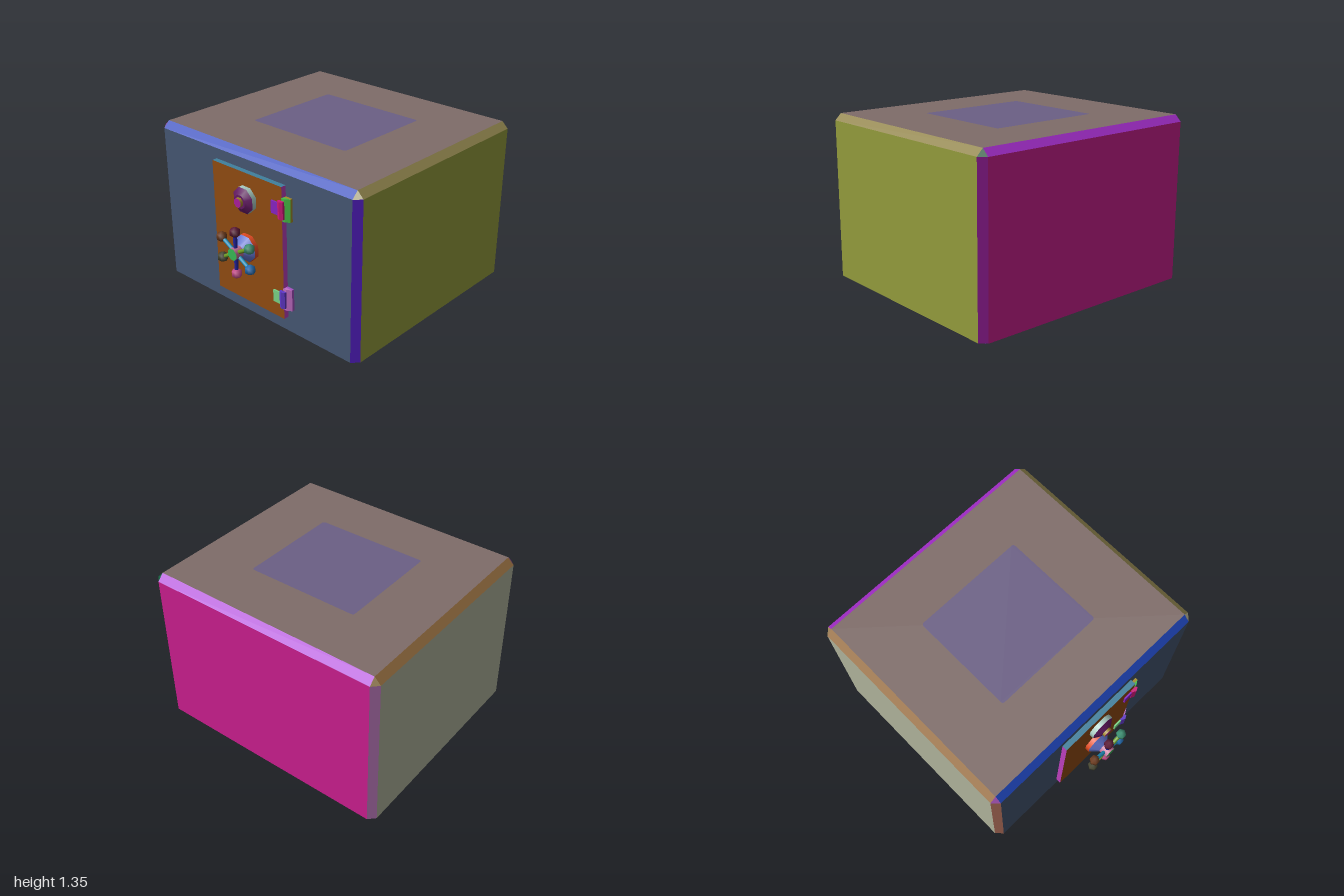
import * as THREE from 'three';

const flat = (color) => new THREE.MeshStandardMaterial({ color, flatShading: true });
const smooth = (color) => new THREE.MeshStandardMaterial({ color });

function add(parent, name, geo, mat, x = 0, y = 0, z = 0) {
  const m = new THREE.Mesh(geo, mat);
  m.name = name;
  m.position.set(x, y, z);
  parent.add(m);
  return m;
}

// Box given by its limits on each axis; mat may list +x, -x, +y, -y, +z, -z
function block(parent, name, [x0, x1], [y0, y1], [z0, z1], mat) {
  return add(parent, name, new THREE.BoxGeometry(x1 - x0, y1 - y0, z1 - z0), mat,
    (x0 + x1) / 2, (y0 + y1) / 2, (z0 + z1) / 2);
}

// Eight-sided band facing +z, from radius r0 at z0 to r1 at z1
function band(parent, name, r0, z0, r1, z1, color) {
  const geo = new THREE.CylinderGeometry(r1, r0, z1 - z0, 8, 1, true, Math.PI / 8).rotateX(Math.PI / 2);
  return add(parent, name, geo, smooth(color), 0, 0, (z0 + z1) / 2);
}

// Eight-sided end cap facing +z
function cap(parent, name, r, z, color) {
  return add(parent, name, new THREE.CircleGeometry(r, 8, Math.PI / 8), smooth(color), 0, 0, z);
}

// Colours around the body: right side first, then by way of the back to the front
const SIDES = [0x949c3c, 0x87198a, 0xcb1e8f, 0xaa6caa, 0xb0b49c, 0xa76956, 0x455672, 0x501ebe];
const RIM = [0x948850, 0x125f3c, 0xa62ecd, 0x967d55, 0x966e40, 0x964ba5, 0x1e44b8, 0xcdc8a5];

// Box with chamfered uprights and top rim, square at the floor; one colour per face
function addBody(parent, hx, hz, y0, y1, c, zMid) {
  const ring = (y) => [[hx, hz - c], [hx, -hz + c], [hx - c, -hz], [-hx + c, -hz],
    [-hx, -hz + c], [-hx, hz - c], [-hx + c, hz], [hx - c, hz]].map(([x, z]) => [x, y, z]);
  const low = ring(y0), mid = ring(y1 - c);
  const top = mid.map(([x, , z]) => [Math.sign(x) * (hx - c), y1, Math.sign(z) * (hz - c)]);
  const pos = [], mats = [];
  const geo = new THREE.BufferGeometry();
  const face = (color, ...p) => { // convex polygon as a fan
    geo.addGroup(pos.length / 3, (p.length - 2) * 3, mats.length);
    mats.push(flat(color));
    for (let i = 1; i < p.length - 1; i++) pos.push(...p[0], ...p[i], ...p[i + 1]);
  };
  for (let i = 0; i < 8; i++) {
    const j = (i + 1) % 8;
    face(SIDES[i], low[i], low[j], mid[j], mid[i]);
    if (i % 2) face(RIM[i], mid[i], mid[j], top[j]);
    else face(RIM[i], mid[i], mid[j], top[j], top[i]);
  }
  face(0x7f6c69, top[0], top[2], top[4], top[6]);
  face(0x7d842d, ...low.reverse());
  geo.setAttribute('position', new THREE.Float32BufferAttribute(pos, 3));
  geo.computeVertexNormals();
  add(parent, 'body', geo, mats, 0, 0, zMid);
}

// Plan outline of [x, z] points raised to a height, centred on y = 0
function plate(points, h) {
  const s = new THREE.Shape(points.map(([x, z]) => new THREE.Vector2(x, -z)));
  return new THREE.ExtrudeGeometry(s, { depth: h, bevelEnabled: false })
    .rotateX(-Math.PI / 2).translate(0, -h / 2, 0);
}

// Feet: x, z, then colours of the sides, front, back and underside
const FEET = [
  [0.838, 0.65, 0xae4b6e, 0x236240, 0x6153e0, 0x3ed0c0],
  [0.378, 0.257, 0x6ed05c, 0xb9ae6e, 0xd0a7d0, 0x32c8c8],
  [0.378, -0.463, 0x17ae51, 0xd04561, 0xd04561, 0x4bcfe0],
  [0.838, -0.853, 0x295174, 0x7d45e0, 0x7d45e0, 0xe0aee0],
  [-0.378, -0.463, 0x8b2ed0, 0xec6f38, 0xec6f38, 0xc8f058],
  [-0.838, -0.853, 0x452360, 0x7d4c1c, 0x7d4c1c, 0x7032b0],
  [-0.378, 0.257, 0xa217e8, 0xcb1dae, 0x7d7d61, 0x64dcf0],
  [-0.838, 0.65, 0xae2e45, 0xbf3468, 0x3899b4, 0xe05832],
];

// Hinges: height, then colours of mount front, mount edges, knuckle and leaf
const HINGES = [
  [1.045, 0x46be46, 0xa58c28, 0xcd1978, 0x8723c3],
  [0.333, 0xc36ec8, 0xa550c3, 0x5f37c8, 0x78d284],
];

// Handwheel: three rods through the hub, six balls counted from the top towards -x
const RODS = [0x2323a0, 0x2396c3, 0x6e9b23];
const BALLS = [0x5f1937, 0x6e3c1e, 0x484832, 0xc84b8c, 0x236eb4, 0x3c9173];

export function createModel() {
  const safe = new THREE.Group();
  safe.name = 'safe';

  addBody(safe, 0.995, 0.8975, 0.046, 1.346, 0.05, -0.1025);

  // Flat rounded panel on the top
  const w = 0.46, d = 0.418, r = 0.02;
  const panel = new THREE.Shape();
  panel.absarc(w - r, d - r, r, 0, Math.PI / 2);
  panel.absarc(-w + r, d - r, r, Math.PI / 2, Math.PI);
  panel.absarc(-w + r, -d + r, r, Math.PI, Math.PI * 1.5);
  panel.absarc(w - r, -d + r, r, Math.PI * 1.5, Math.PI * 2);
  add(safe, 'topPanel', new THREE.ShapeGeometry(panel, 3).rotateX(-Math.PI / 2),
    flat(0x6b5f85), 0, 1.3475, -0.105);

  for (const [x, z, side, front, back, under] of FEET)
    add(safe, 'foot', new THREE.BoxGeometry(0.125, 0.05, 0.116),
      [side, side, side, under, front, back].map(flat), x, 0.025, z);

  block(safe, 'door', [-0.35, 0.35], [0.165, 1.215], [0.79, 0.837],
    [0xbf40bf, 0xbf40bf, 0x40809d, 0x40809d, 0x914b11, 0x914b11].map(flat));

  for (const [y, front, edge, knuckle, leaf] of HINGES) {
    const hinge = new THREE.Group();
    hinge.name = 'hinge';
    hinge.position.y = y;
    safe.add(hinge);
    block(hinge, 'hingeMountEdge', [0.345, 0.412], [-0.0875, 0.0875], [0.79, 0.815], flat(edge));
    add(hinge, 'hingeMount', plate([[0.345, 0.815], [0.412, 0.815], [0.375, 0.837], [0.345, 0.837]], 0.175), flat(front));
    add(hinge, 'hingeKnuckle', plate([[0.322, 0.83], [0.375, 0.83], [0.375, 0.853], [0.35, 0.866], [0.322, 0.852]], 0.135), flat(knuckle));
    block(hinge, 'hingeLeaf', [0.255, 0.33], [-0.048, 0.048], [0.83, 0.85], flat(leaf));
  }

  // Combination dial
  const dial = new THREE.Group();
  dial.name = 'dial';
  dial.position.set(0, 1.015, 0);
  safe.add(dial);
  band(dial, 'dialRing', 0.103, 0.83, 0.103, 0.873, 0xaacdc3);
  band(dial, 'dialTaper', 0.103, 0.873, 0.055, 0.905, 0x641964);
  cap(dial, 'dialFace', 0.055, 0.905, 0x641964);
  band(dial, 'dialKnob', 0.037, 0.9, 0.037, 0.928, 0xa0842d);
  cap(dial, 'dialKnobFace', 0.037, 0.928, 0xaa1e9c);

  // Spoked handwheel
  const wheel = new THREE.Group();
  wheel.name = 'handwheel';
  wheel.position.set(0, 0.632, 0);
  safe.add(wheel);
  band(wheel, 'wheelBase', 0.108, 0.83, 0.108, 0.872, 0xe14b23);
  band(wheel, 'wheelCone', 0.108, 0.872, 0.046, 0.932, 0x6273cd);
  band(wheel, 'wheelHub', 0.048, 0.925, 0.048, 1, 0xbe6e96);
  cap(wheel, 'wheelHubFace', 0.048, 1, 0x38b955);
  const R = 0.167;
  RODS.forEach((color, i) => {
    const rod = add(wheel, 'spoke', new THREE.CylinderGeometry(0.015, 0.015, 2 * R, 8), smooth(color), 0, 0, 0.964);
    rod.rotation.z = i * Math.PI / 3;
  });
  BALLS.forEach((color, i) => {
    const a = i * Math.PI / 3;
    add(wheel, 'spokeBall', new THREE.SphereGeometry(0.043, 6, 3), smooth(color),
      -Math.sin(a) * R, Math.cos(a) * R, 0.964);
  });
  return safe;
}
